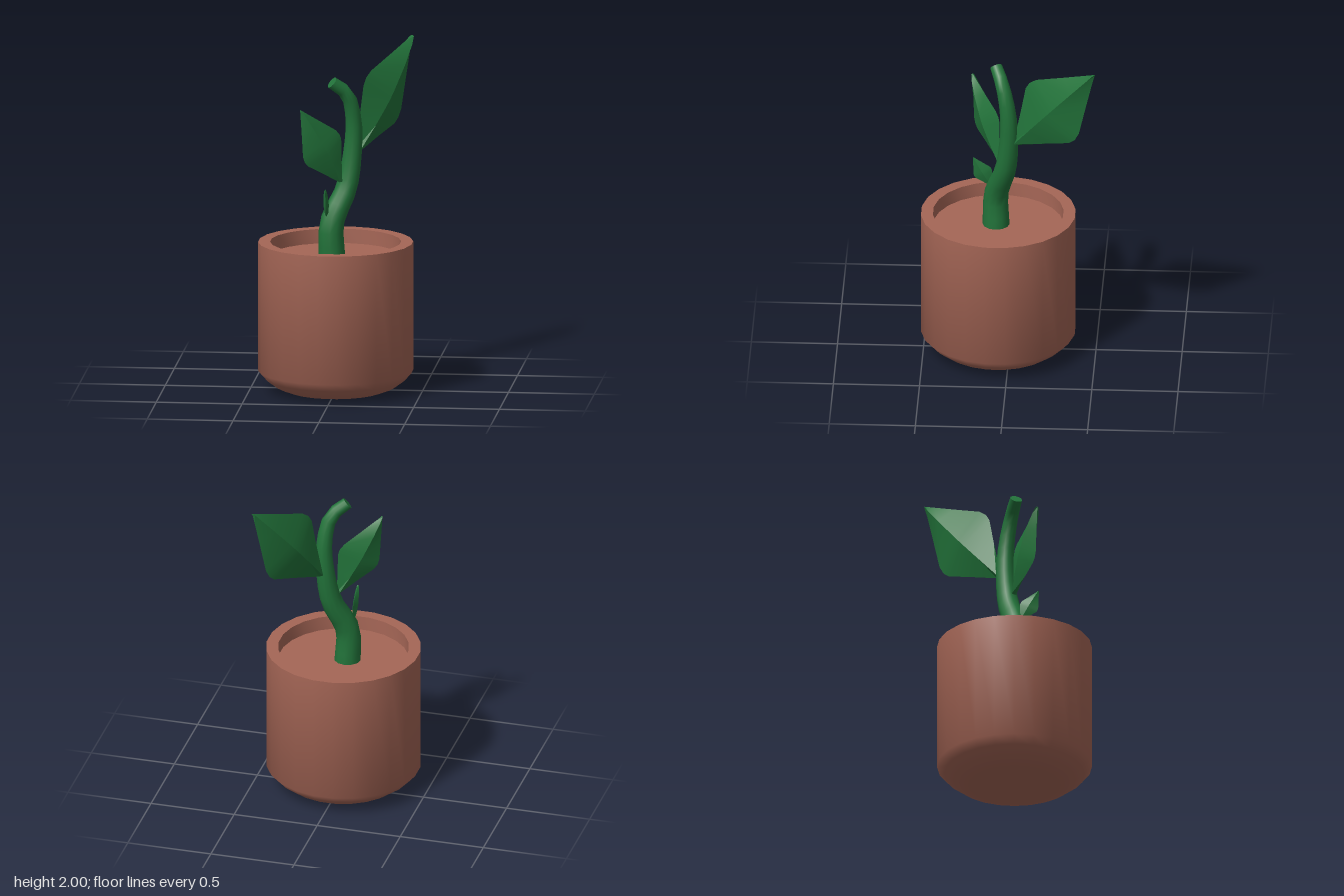
import * as THREE from 'three';
import { toCreasedNormals } from 'three/addons/utils/BufferGeometryUtils.js';

const V3 = (x, y, z) => new THREE.Vector3(x, y, z);
const clay = new THREE.MeshStandardMaterial({ color: 0xa56656 });
const green = new THREE.MeshStandardMaterial({ color: 0x22733a });

function addMesh(parent, name, geometry, material) {
  const mesh = new THREE.Mesh(geometry, material);
  mesh.name = name;
  parent.add(mesh);
  return mesh;
}

// Pot: rounded foot, straight wall, flat rim and recessed soil floor
function makePot() {
  const profile = [
    [0, 0], [0.2, 0], [0.28, 0.008], [0.35, 0.035], [0.41, 0.08], [0.45, 0.125],
    [0.45, 0.885], [0.38, 0.885], [0.38, 0.8], [0, 0.8],
  ].map(([r, y]) => new THREE.Vector2(r, y));
  const lathe = new THREE.LatheGeometry(profile, 24, Math.PI / 24);
  return toCreasedNormals(lathe, 0.9);
}

// Stem: a tube along a bent path, thinning towards the top
const stemPath = new THREE.CatmullRomCurve3([
  V3(-0.02, 0.78, 0.08), V3(-0.02, 1.0, 0.08), V3(0.06, 1.2, 0.022),
  V3(0.093, 1.42, 0), V3(0.098, 1.6, 0.008), V3(0.065, 1.75, 0.04), V3(-0.02, 1.826, 0.08),
]);
const stemRadius = (u) => THREE.MathUtils.lerp(0.079, 0.036, u);

function makeStem() {
  const rings = 14, sides = 12;
  const tube = new THREE.TubeGeometry(stemPath, rings, 1, sides);
  const pos = tube.attributes.position;
  const p = V3();
  for (let i = 0; i <= rings; i++) {
    const centre = stemPath.getPointAt(i / rings);
    for (let j = 0; j <= sides; j++) {
      const k = i * (sides + 1) + j;
      p.fromBufferAttribute(pos, k).sub(centre).multiplyScalar(stemRadius(i / rings)).add(centre);
      pos.setXYZ(k, p.x, p.y, p.z);
    }
  }
  return tube;
}

// Leaf: diamond-shaped sections along a line from base to tip, ridged on both faces
// Each row: position along the leaf, half width, half thickness (for unit length)
const leafSections = [
  [0, 0.02, 0.03], [0.23, 0.15, 0.058], [0.4, 0.25, 0.072], [0.46, 0.261, 0.074],
  [0.53, 0.246, 0.073], [0.75, 0.13, 0.06], [0.92, 0.042, 0.037], [0.99, 0.006, 0.018], [1, 0, 0],
];

function makeLeaf(base, tip) {
  const axis = tip.clone().sub(base);
  const size = axis.length();
  axis.normalize();
  const up = V3(0, 1, 0).addScaledVector(axis, -axis.y).normalize();
  const side = axis.clone().cross(up);
  const points = [], index = [];
  leafSections.forEach(([t, width, thick], i) => {
    for (let j = 0; j < 4; j++) {
      const p = base.clone().addScaledVector(axis, t * size);
      const sign = j < 2 ? 1 : -1;
      p.addScaledVector(j % 2 ? side : up, sign * size * (j % 2 ? thick : width));
      points.push(p);
      if (i > 0) {
        const a = (i - 1) * 4 + j, b = (i - 1) * 4 + (j + 1) % 4;
        index.push(a, b, b + 4, a, b + 4, a + 4);
      }
    }
  });
  index.push(0, 2, 1, 0, 3, 2); // base cap
  const geometry = new THREE.BufferGeometry().setFromPoints(points);
  geometry.setIndex(index);
  return toCreasedNormals(geometry, 0.42);
}

export function createModel() {
  const model = new THREE.Group();
  model.name = 'pottedSprout';

  addMesh(model, 'pot', makePot(), clay).position.z = 0.067;

  const plant = new THREE.Group();
  plant.name = 'plant';
  model.add(plant);
  addMesh(plant, 'stem', makeStem(), green);

  // Flat cut end of the stem
  const cut = addMesh(plant, 'stemEnd', new THREE.CircleGeometry(stemRadius(1), 12), green);
  cut.position.copy(stemPath.getPointAt(1));
  cut.quaternion.setFromUnitVectors(V3(0, 0, 1), stemPath.getTangentAt(1));

  addMesh(plant, 'largeLeaf', makeLeaf(V3(0.11, 1.4, -0.04), V3(0.387, 2, -0.51)), green);
  addMesh(plant, 'mediumLeaf', makeLeaf(V3(0.03, 1.24, 0.06), V3(-0.19, 1.69, 0.227)), green);
  addMesh(plant, 'smallLeaf', makeLeaf(V3(-0.047, 1.035, 0.11), V3(-0.045, 1.22, 0.217)), green);
  return model;
}
